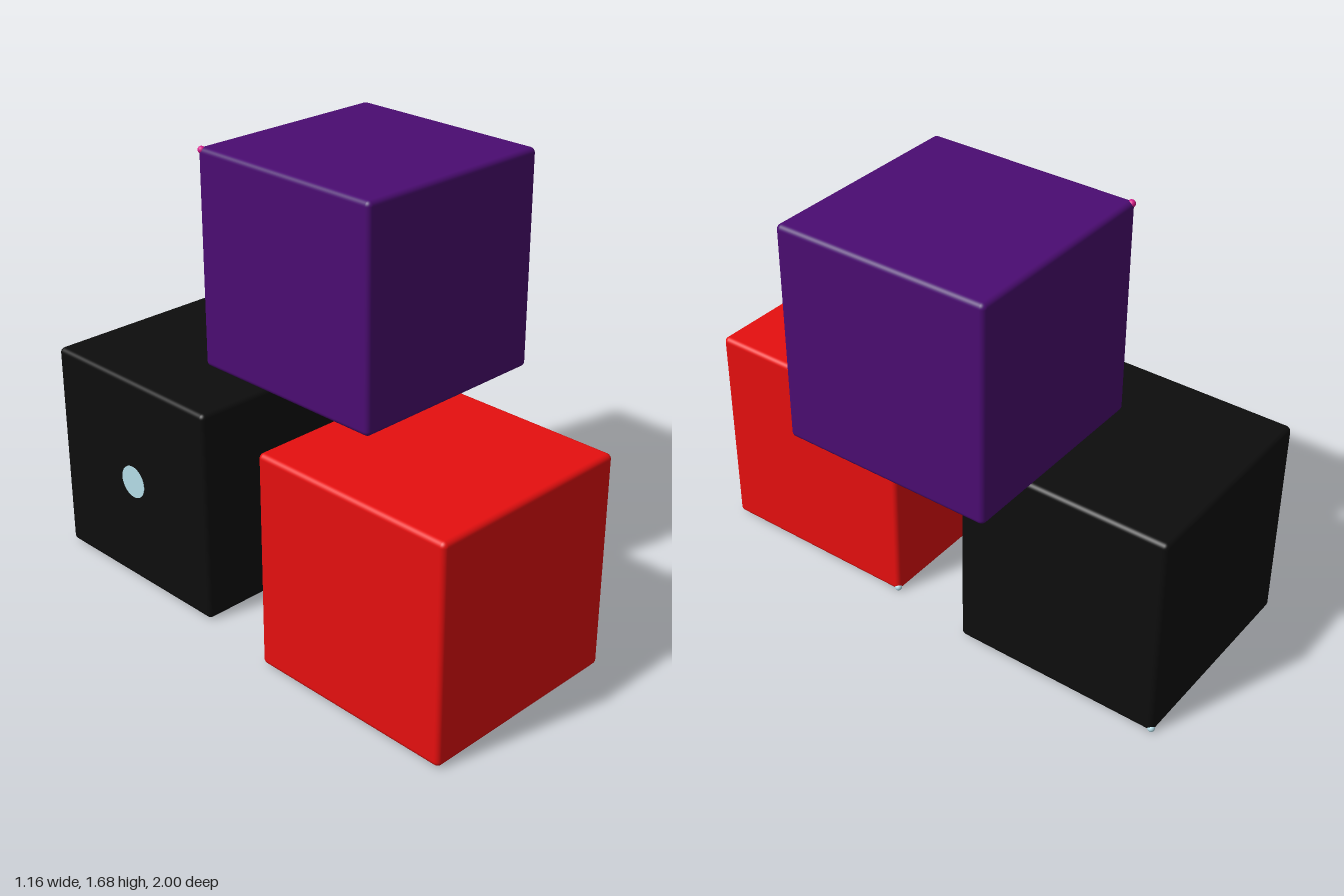
import * as THREE from 'three';
import { RoundedBoxGeometry } from 'three/addons/geometries/RoundedBoxGeometry.js';

const SIZE = 0.834;
const HALF = SIZE / 2;

// One block: a rounded cube, a small corner bead and an optional round inset in a face
function block({ name, color, accent, position, corner, inset }) {
  const group = new THREE.Group();
  group.name = name;
  group.position.set(...position);

  const add = (part, geometry, tint) => {
    const mesh = new THREE.Mesh(geometry, new THREE.MeshStandardMaterial({ color: tint }));
    mesh.name = part;
    group.add(mesh);
    return mesh;
  };

  add('cube', new RoundedBoxGeometry(SIZE, SIZE, SIZE, 4, 0.02), color);

  // Bead sunk into one rounded corner
  add('cornerBead', new THREE.SphereGeometry(0.014, 16, 12), accent)
    .position.set(...corner.map((s) => s * (HALF - 0.011)));

  // Shallow round button, flush with the centre of a face
  if (inset) {
    const dir = new THREE.Vector3(...inset);
    const button = add('roundInset', new THREE.CylinderGeometry(0.064, 0.064, 0.02, 40), accent);
    button.quaternion.setFromUnitVectors(new THREE.Vector3(0, 1, 0), dir);
    button.position.copy(dir).multiplyScalar(HALF - 0.008);
  }
  return group;
}

export function createModel() {
  const model = new THREE.Group();
  model.name = 'stackedBlocks';

  const blocks = [
    {
      name: 'redBlock', color: 0xe60f0f, accent: 0xb5dde8,
      position: [-0.163, 0.005 + HALF, 1 - HALF], corner: [1, -1, -1],
    },
    {
      name: 'blackBlock', color: 0x0d0d0d, accent: 0xb5dde8,
      position: [-0.118, 0.005 + HALF, HALF - 1], corner: [1, -1, -1], inset: [-1, 0, 0],
    },
    {
      name: 'purpleBlock', color: 0x4b0c72, accent: 0xd81b8c,
      position: [0.161, 0.844 + HALF, -0.057], corner: [-1, 1, -1], inset: [0, -1, 0],
    },
  ];
  for (const spec of blocks) model.add(block(spec));
  return model;
}
